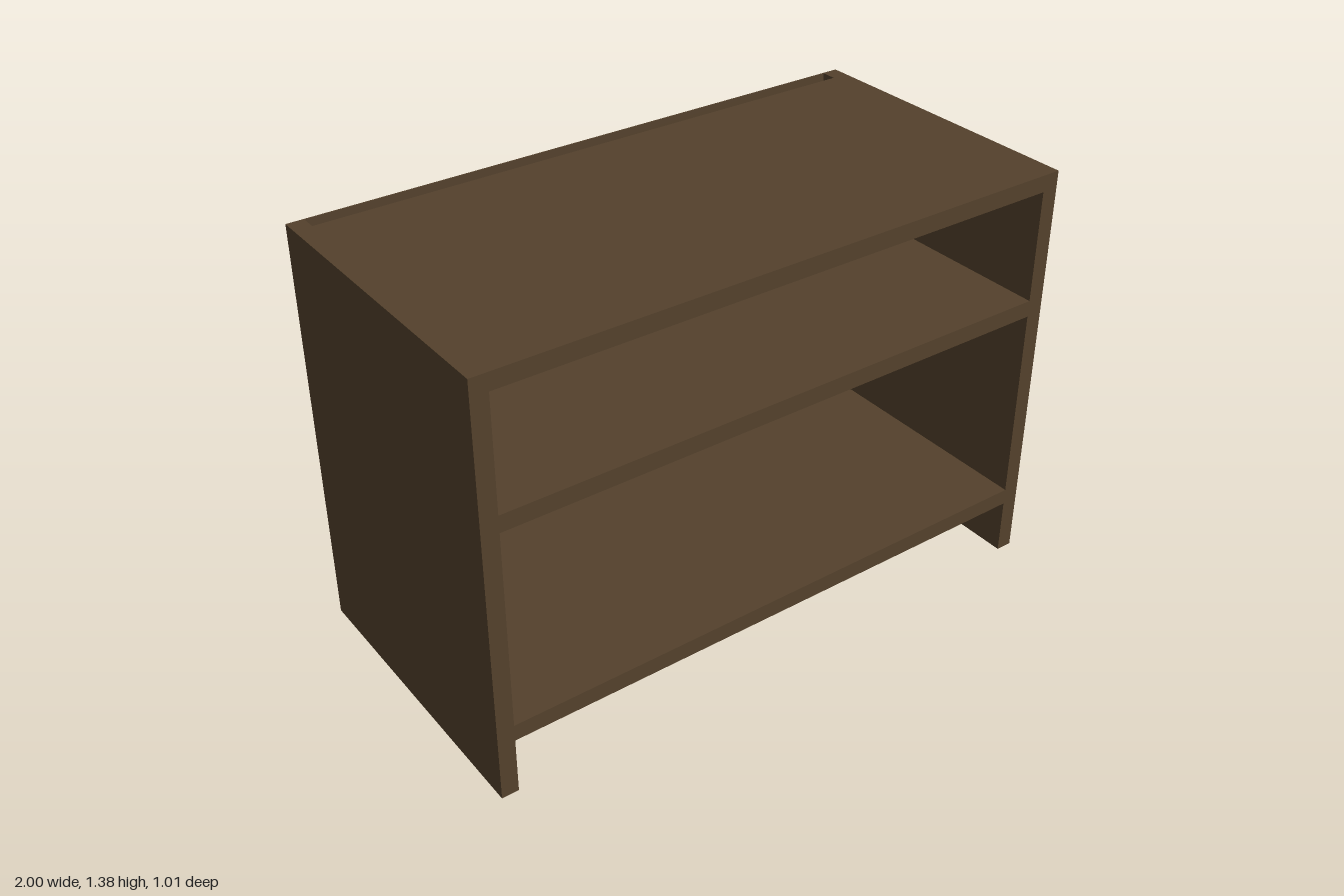
import * as THREE from 'three';

export function createModel() {
  const group = new THREE.Group();
  const wood = new THREE.MeshStandardMaterial({ color: 0x54412c });
  wood.name = 'darkWood';

  // Box panel given by its minimum and maximum corners
  function panel(name, [x0, y0, z0], [x1, y1, z1]) {
    const mesh = new THREE.Mesh(new THREE.BoxGeometry(x1 - x0, y1 - y0, z1 - z0), wood);
    mesh.position.set((x0 + x1) / 2, (y0 + y1) / 2, (z0 + z1) / 2);
    mesh.name = name;
    group.add(mesh);
  }

  const T = 0.055;              // board thickness
  const H = 1.38, base = 0.19;  // total height, underside of the bottom board
  const front = 0.507, back = -0.507;
  const inX = 1 - T, inZ = back + T;

  // Side panels run down to the floor as legs
  panel('leftSide', [inX, 0, back], [1, H, front]);
  panel('rightSide', [-1, 0, back], [-inX, H, front]);

  // Top, middle and bottom boards between the sides
  const boards = { bottomBoard: base, middleShelf: 0.903, topBoard: H - T };
  for (const [name, y] of Object.entries(boards)) {
    panel(name, [-inX, y, inZ], [inX, y + T, front]);
  }

  // Back panel, with a narrow slot left open along its top
  panel('backPanel', [-inX, base, back], [inX, H - T, inZ]);
  panel('backLip', [-inX, H - T, back], [inX, H, back + 0.004]);

  return group;
}
